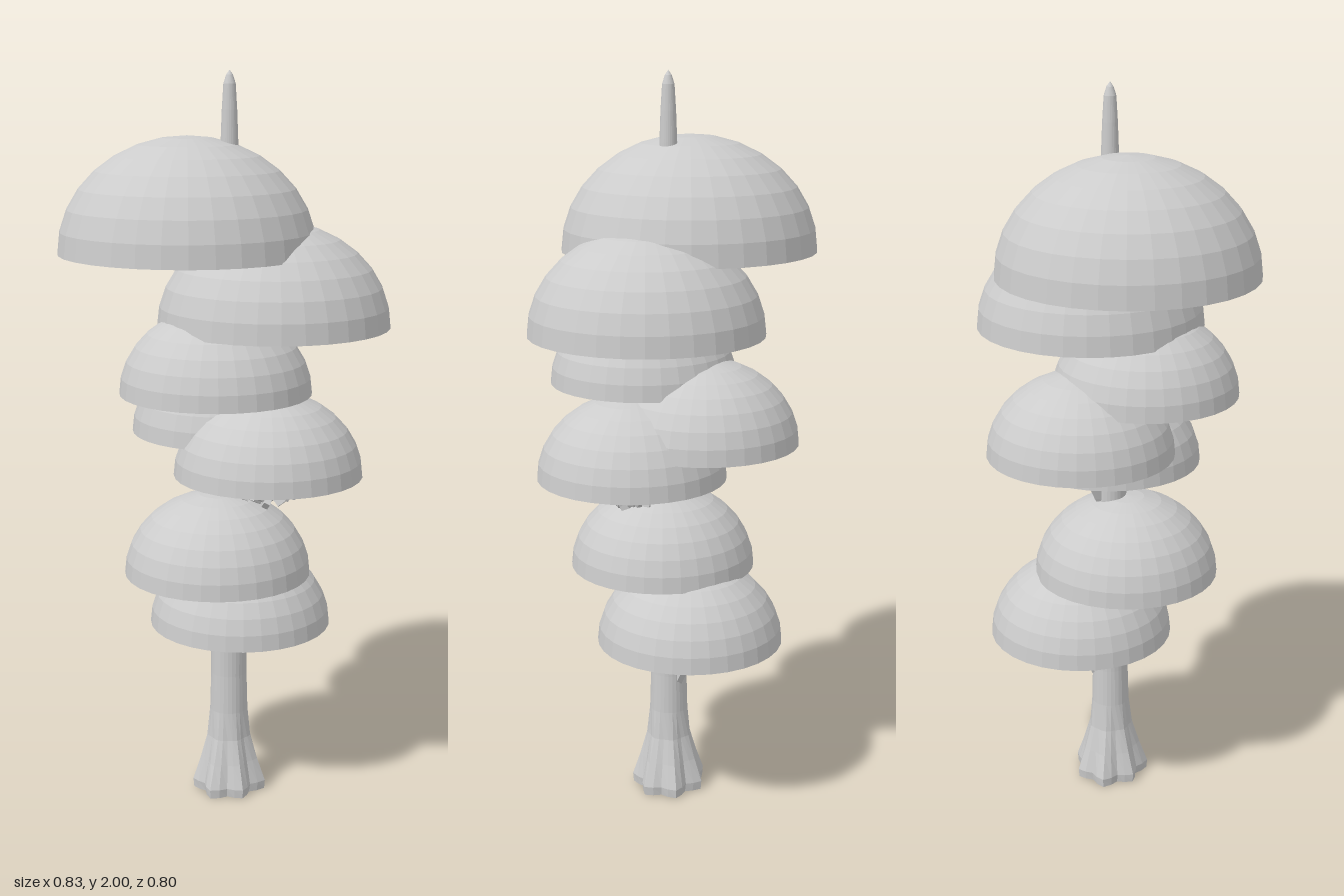
import * as THREE from 'three';
import { mergeGeometries } from 'three/addons/utils/BufferGeometryUtils.js';

const material = new THREE.MeshStandardMaterial({ color: 0xcccccc, flatShading: true });
const shellMaterial = new THREE.MeshStandardMaterial({ color: 0xcccccc, flatShading: true, side: THREE.DoubleSide });

// Each canopy: centre x, rim height, centre z, radius, cluster underside relative to the rim
const CANOPIES = [
  [0.084, 0.475, -0.029, 0.254, 0.01],
  [-0.032, 0.66, 0.024, 0.254, -0.04],
  [0.063, 0.945, 0.126, 0.254, -0.08],
  [0.06, 1.03, -0.073, 0.254, -0.02],
  [-0.068, 1.175, 0.068, 0.254, -0.04],
  [0.104, 1.34, 0.092, 0.31, 0.0],
  [-0.07, 1.53, -0.058, 0.343, 0.01],
];
const TRUNK_X = 0.013, TRUNK_Z = 0.016;

function seeded(seed) {
  let s = seed;
  return () => (s = (s * 16807) % 2147483647) / 2147483647;
}

function addMesh(parent, name, geometry, mat = material) {
  const mesh = new THREE.Mesh(geometry, mat);
  mesh.name = name;
  parent.add(mesh);
  return mesh;
}

// Tapering stem with fluted roots and a pointed tip
function trunkGeometry() {
  const profile = [
    [0, 0.008], [0.092, 0], [0.095, 0.025], [0.077, 0.09], [0.06, 0.16], [0.053, 0.24],
    [0.05, 0.35], [0.05, 0.5], [0.046, 0.8], [0.041, 1.1], [0.035, 1.4], [0.028, 1.65],
    [0.023, 1.82], [0.02, 1.9], [0.016, 1.965], [0.009, 1.987], [0, 2],
  ].map(([r, y]) => new THREE.Vector2(r, y));
  const geometry = new THREE.LatheGeometry(profile, 28);
  const p = geometry.attributes.position;
  for (let i = 0; i < p.count; i++) {
    const x = p.getX(i), y = p.getY(i), z = p.getZ(i);
    const a = Math.atan2(z, x);
    const flare = Math.max(0, 1 - y / 0.25);
    const k = 1 + flare * (0.13 * Math.cos(7 * a) + 0.04 * Math.sin(3 * a));
    p.setXYZ(i, x * k + TRUNK_X, y, z * k + TRUNK_Z);
  }
  geometry.computeVertexNormals();
  return geometry;
}

// Branch that narrows along its curve
function branchGeometry(points, r0, r1) {
  const curve = new THREE.CatmullRomCurve3(points);
  const rows = 8, sides = 6;
  const geometry = new THREE.TubeGeometry(curve, rows, 1, sides);
  const p = geometry.attributes.position;
  const v = new THREE.Vector3(), c = new THREE.Vector3();
  for (let i = 0; i < p.count; i++) {
    const t = Math.floor(i / (sides + 1)) / rows;
    curve.getPointAt(t, c);
    v.fromBufferAttribute(p, i).sub(c).multiplyScalar(r0 + (r1 - r0) * t).add(c);
    p.setXYZ(i, v.x, v.y, v.z);
  }
  geometry.computeVertexNormals();
  return geometry;
}

// Rough ball of small tilted blocks
function clusterGeometry(center, rand) {
  const blocks = [];
  const count = 230;
  for (let i = 0; i < count; i++) {
    const up = 1 - 2 * (i + 0.5) / count;
    const ring = Math.sqrt(1 - up * up), a = i * 2.39996;
    const r = 0.082 + 0.028 * rand();
    const s = 0.015 + 0.011 * rand();
    const block = new THREE.BoxGeometry(s, s * 0.7, s * 1.1);
    block.rotateX(rand() * 3).rotateY(rand() * 3).rotateZ(rand() * 3);
    block.translate(center.x + r * ring * Math.cos(a), center.y + r * 0.92 * up, center.z + r * ring * Math.sin(a));
    blocks.push(block);
  }
  // Inner mass filling the gaps
  const core = new THREE.SphereGeometry(0.083, 10, 8);
  core.scale(1, 0.92, 1).translate(center.x, center.y, center.z);
  blocks.push(core);
  return mergeGeometries(blocks);
}

export function createModel() {
  const model = new THREE.Group();
  model.name = 'tieredTree';
  addMesh(model, 'trunk', trunkGeometry());

  CANOPIES.forEach(([x, y, z, radius, drop], i) => {
    const rand = seeded(101 + i * 977);
    const tier = new THREE.Group();
    tier.name = `canopyTier${i + 1}`;
    model.add(tier);

    // Hollow, slightly flattened dome
    const dome = new THREE.SphereGeometry(radius, 32, 8, 0, Math.PI * 2, 0, Math.PI / 2);
    dome.scale(1, 0.888, 1).translate(x, y, z);
    addMesh(tier, 'dome', dome, shellMaterial);

    const center = new THREE.Vector3(x, y + drop + 0.1, z);
    addMesh(tier, 'leafCluster', clusterGeometry(center, rand));

    // Main branch out of the trunk, then two forking twigs
    const dir = new THREE.Vector3(x - TRUNK_X, 0, z - TRUNK_Z).normalize();
    const side = new THREE.Vector3(-dir.z, 0, dir.x);
    const at = (out, h, across = 0) => new THREE.Vector3(TRUNK_X, h, TRUNK_Z)
      .addScaledVector(dir, out).addScaledVector(side, across);
    const fork = at(0.075, y - 0.06);
    addMesh(tier, 'branch', branchGeometry([at(0.02, y - 0.17), at(0.05, y - 0.12), fork, center], 0.018, 0.008));
    for (const s of [-1, 1]) {
      const tip = center.clone().addScaledVector(side, s * 0.05);
      addMesh(tier, 'twig', branchGeometry([fork, at(0.095, y - 0.01, s * 0.025), tip], 0.008, 0.004));
    }
  });
  return model;
}
